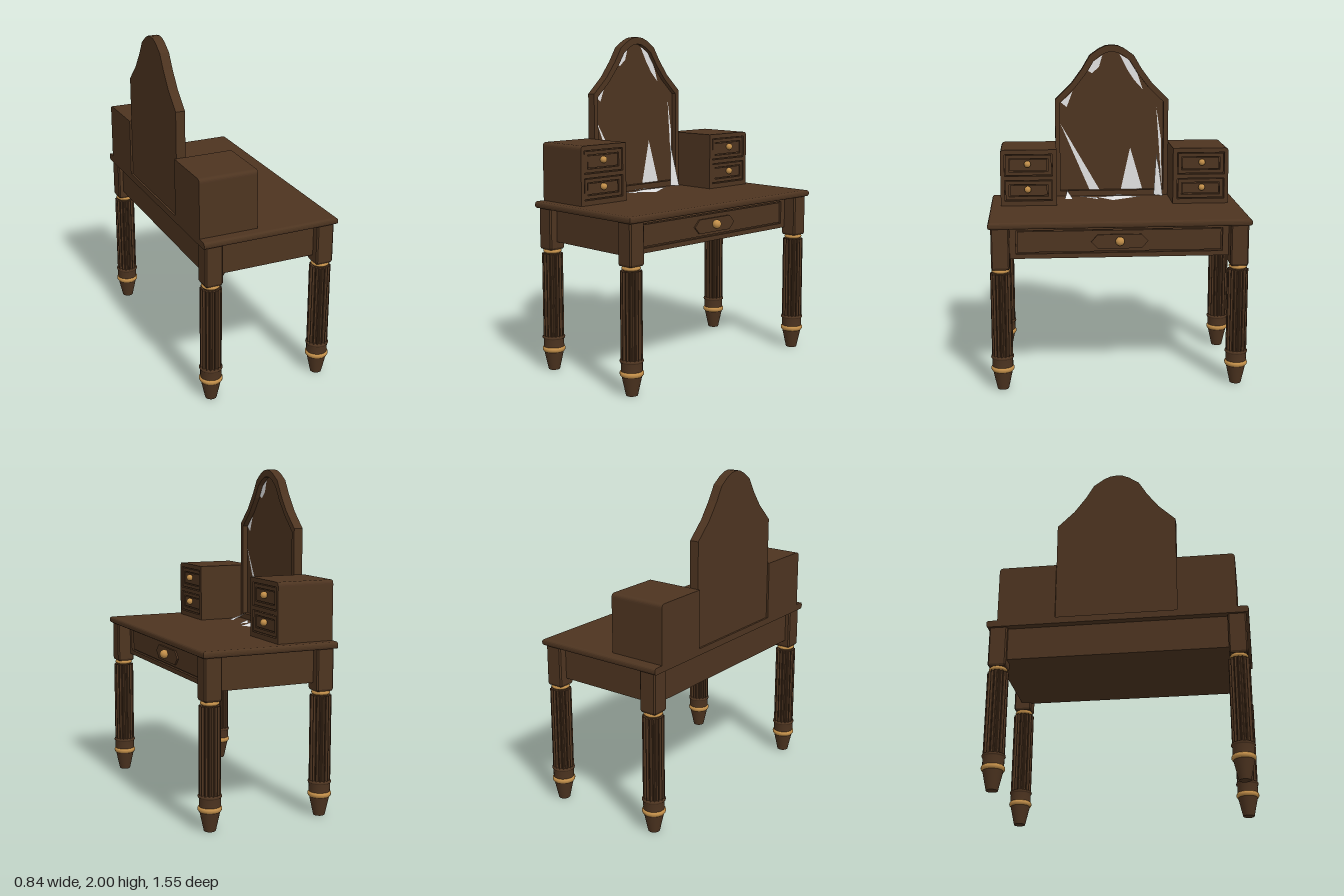
import * as THREE from 'three';

const wood = new THREE.MeshStandardMaterial({ color: 0x4d3420 });
wood.name = 'dark wood';
const brass = new THREE.MeshStandardMaterial({ color: 0xc4904a });
brass.name = 'brass';
const glass = new THREE.MeshStandardMaterial({ color: 0xe2e2e2, side: THREE.DoubleSide });
glass.name = 'broken glass';

function add(parent, name, geometry, material, x = 0, y = 0, z = 0) {
  const mesh = new THREE.Mesh(geometry, material);
  mesh.name = name;
  mesh.position.set(x, y, z);
  parent.add(mesh);
  return mesh;
}

function box(parent, name, [x0, x1], [y0, y1], [z0, z1]) {
  return add(parent, name, new THREE.BoxGeometry(x1 - x0, y1 - y0, z1 - z0), wood,
    (x0 + x1) / 2, (y0 + y1) / 2, (z0 + z1) / 2);
}

const polygon = (pts) => new THREE.Shape(pts.map(([a, b]) => new THREE.Vector2(a, b)));
const rect = (a0, a1, b0, b1) => polygon([[a0, b0], [a1, b0], [a1, b1], [a0, b1]]);

// Extrudes a (-z, y) shape along x, from x0 to x1
function extrudeX(shape, x0, x1) {
  return new THREE.ExtrudeGeometry(shape, { depth: x1 - x0, bevelEnabled: false, curveSegments: 6 })
    .rotateY(Math.PI / 2).translate(x0, 0, 0);
}

// Brass knob with a short stem, pointing along +x
function knob(parent, x, y, z, r) {
  add(parent, 'knobStem', new THREE.CylinderGeometry(r * 0.5, r * 0.6, 0.02, 12).rotateZ(-Math.PI / 2), brass, x, y, z);
  add(parent, 'knob', new THREE.SphereGeometry(r, 16, 12), brass, x + r * 0.5, y, z);
}

// Desk top with an eased edge, square at the back
function buildTop(root) {
  const b = 0.015;
  const g = new THREE.ExtrudeGeometry(rect(-0.40, 0.42 - b, -0.775 + b, 0.775 - b),
    { depth: 0.04 - 2 * b, bevelThickness: b, bevelSize: b, bevelSegments: 3 });
  g.rotateX(-Math.PI / 2).translate(0, 0.99 + b, 0);
  const p = g.attributes.position;
  for (let i = 0; i < p.count; i++) if (p.getX(i) < -0.39) p.setX(i, -0.42);
  g.computeVertexNormals();
  add(root, 'deskTop', g, wood);
}

// Apron set back between the legs, with one wide drawer
function buildApron(root) {
  const apron = new THREE.Group();
  apron.name = 'apron';
  root.add(apron);
  box(apron, 'apronBody', [-0.375, 0.305], [0.792, 0.995], [-0.71, 0.71]);
  const face = rect(-0.68, 0.68, 0.792, 0.99);
  face.holes.push(rect(-0.615, 0.615, 0.82, 0.962));
  add(apron, 'apronFace', extrudeX(face, 0.305, 0.322), wood);
  box(apron, 'wideDrawer', [0.305, 0.314], [0.828, 0.954], [-0.607, 0.607]);
  const plate = [[-0.17, 0.888], [-0.13, 0.845], [0.13, 0.845], [0.17, 0.888], [0.13, 0.93], [-0.13, 0.93]];
  add(apron, 'drawerPlate', extrudeX(polygon(plate), 0.314, 0.324), wood);
  knob(apron, 0.326, 0.892, 0, 0.027);
}

// Fluted, turned leg under a square block
function buildLeg(root, x, z) {
  const leg = new THREE.Group();
  leg.name = 'leg';
  leg.position.set(x, 0, z);
  root.add(leg);
  const h = 0.054, c = 0.008;
  const block = polygon([[-h, -h + c], [-h + c, -h], [h - c, -h], [h, -h + c],
    [h, h - c], [h - c, h], [-h + c, h], [-h, h - c]]);
  add(leg, 'legBlock', new THREE.ExtrudeGeometry(block,
    { depth: 0.24, bevelThickness: 0.012, bevelSize: 0.006, bevelOffset: -0.006, bevelSegments: 1 })
    .rotateX(-Math.PI / 2), wood, 0, 0.757, 0);
  // sixteen flutes around the shaft
  const pts = [];
  const flutes = 16, steps = 6;
  for (let i = 0; i < flutes * steps; i++) {
    const a = ((i - 0.5) / (flutes * steps)) * Math.PI * 2;
    const r = 0.063 - 0.011 * Math.max(0, Math.sin((i % steps) / steps * Math.PI * 1.2));
    pts.push([r * Math.cos(a), r * Math.sin(a)]);
  }
  add(leg, 'flutedShaft', new THREE.ExtrudeGeometry(polygon(pts), { depth: 0.517, bevelEnabled: false })
    .rotateX(-Math.PI / 2), wood, 0, 0.2, 0);
  const lathe = (name, profile, material) => add(leg, name,
    new THREE.LatheGeometry(profile.map(([r, y]) => new THREE.Vector2(r, y)), 24), material);
  lathe('foot', [[0, 0], [0.034, 0], [0.034, 0], [0.06, 0.118], [0.06, 0.118], [0, 0.118]], wood);
  lathe('footRing', [[0.05, 0.112], [0.063, 0.115], [0.068, 0.122], [0.069, 0.13], [0.068, 0.138], [0.06, 0.146], [0, 0.146]], brass);
  lathe('ankle', [[0.062, 0.143], [0.062, 0.193], [0.067, 0.196], [0.069, 0.202], [0.067, 0.208], [0.06, 0.212], [0, 0.212]], wood);
  lathe('neckRing', [[0, 0.72], [0.046, 0.722], [0.053, 0.728], [0.055, 0.734], [0.051, 0.742], [0.044, 0.748]], brass);
  lathe('neck', [[0.044, 0.71], [0.044, 0.765]], wood);
}

// Two-drawer cabinet; side is +1 or -1 along z
function buildCabinet(root, side) {
  const cabinet = new THREE.Group();
  cabinet.name = 'drawerCabinet';
  root.add(cabinet);
  const outline = () => {
    const s = new THREE.Shape();
    const a = -side;
    s.moveTo(a * 0.362, 1.03);
    s.lineTo(a * 0.71, 1.03);
    s.lineTo(a * 0.71, 1.355);
    s.quadraticCurveTo(a * 0.71, 1.38, a * 0.685, 1.38);
    s.lineTo(a * 0.362, 1.38);
    return s;
  };
  const span = (inset) => [-side * 0.537 - 0.148 + inset, -side * 0.537 + 0.148 - inset];
  const face = outline();
  const drawers = [[1.215, 1.352], [1.06, 1.19]];
  add(cabinet, 'cabinetBody', extrudeX(outline(), -0.42, -0.085), wood);
  for (const [y0, y1] of drawers) {
    face.holes.push(rect(...span(0), y0, y1));
    // drawer front: raised rim around a sunk panel
    const rim = rect(...span(0.006), y0 + 0.006, y1 - 0.006);
    rim.holes.push(rect(...span(0.027), y0 + 0.027, y1 - 0.027));
    add(cabinet, 'drawerRim', extrudeX(rim, -0.085, -0.071), wood);
    add(cabinet, 'drawerPanel', extrudeX(rect(...span(0.033), y0 + 0.033, y1 - 0.033), -0.085, -0.075), wood);
    knob(cabinet, -0.072, (y0 + y1) / 2 + 0.008, side * 0.542, 0.021);
  }
  add(cabinet, 'cabinetFace', extrudeX(face, -0.085, -0.066), wood);
}

// Arched mirror frame with a back board
function buildMirror(root) {
  const mirror = new THREE.Group();
  mirror.name = 'mirror';
  root.add(mirror);
  const arch = (half, apex) => polygon([...half, [0, apex], ...half.map(([z, y]) => [-z, y]).reverse()]);
  const outer = [[0.363, 1.03], [0.363, 1.655], [0.26, 1.755], [0.19, 1.85], [0.14, 1.935], [0.08, 1.977], [0.04, 1.995]];
  const inner = [[0.333, 1.065], [0.333, 1.635], [0.237, 1.728], [0.165, 1.82], [0.115, 1.9], [0.07, 1.935], [0.035, 1.952]];
  const frame = arch(outer, 2.0);
  frame.holes.push(arch(inner, 1.957));
  add(mirror, 'mirrorFrame', extrudeX(frame, -0.385, -0.352), wood);
  add(mirror, 'mirrorBack', extrudeX(arch(outer, 2.0), -0.408, -0.385), wood);
}

// Flat piece of glass from corner points [x, y, z]
function shard(root, name, pts) {
  const g = new THREE.BufferGeometry();
  g.setAttribute('position', new THREE.Float32BufferAttribute(pts.flat(), 3));
  const index = [];
  for (let i = 1; i < pts.length - 1; i++) index.push(0, i, i + 1);
  g.setIndex(index);
  g.computeVertexNormals();
  // keep the lying pieces' normals pointing up and the standing ones' forward
  const n = g.attributes.normal;
  if (n.getX(0) + n.getY(0) < 0) {
    g.setIndex(index.reverse());
    g.computeVertexNormals();
  }
  add(root, name, g, glass);
}

function buildGlass(root) {
  // pieces left in the frame, as [z, y]
  const stuck = [
    [[0.058, 1.935], [0.115, 1.895], [0.15, 1.835], [0.125, 1.82], [0.08, 1.86]],
    [[-0.05, 1.94], [-0.11, 1.905], [-0.165, 1.82], [-0.2, 1.715], [-0.145, 1.775], [-0.105, 1.835]],
    [[0.25, 1.705], [0.325, 1.635], [0.288, 1.605]],
    [[0.33, 1.5], [0.08, 1.066], [0.145, 1.066]],
    [[-0.12, 1.34], [-0.06, 1.066], [-0.2, 1.066]],
    [[-0.288, 1.605], [-0.32, 1.4], [-0.328, 1.066], [-0.318, 1.25], [-0.305, 1.4]],
  ];
  for (const p of stuck) shard(root, 'stuckShard', p.map(([z, y]) => [-0.381, y, z]));
  // pieces lying on the desk, as [x, z]
  const lying = [
    [[-0.305, -0.2], [-0.18, 0.005], [-0.29, 0.102], [-0.32, -0.01]],
    [[-0.21, 0.09], [-0.28, 0.102], [-0.335, 0.226]],
    [[-0.333, -0.08], [-0.351, -0.06], [-0.351, 0.05]],
  ];
  for (const p of lying) shard(root, 'lyingShard', p.map(([x, z]) => [x, 1.034, z]));
  // pieces leaning on the frame
  shard(root, 'leaningShard', [[-0.351, 1.068, 0.29], [-0.247, 1.032, 0.258], [-0.247, 1.032, 0.308]]);
  shard(root, 'leaningShard', [[-0.35, 1.3, -0.287], [-0.335, 1.035, -0.27], [-0.31, 1.032, -0.326], [-0.35, 1.2, -0.308]]);
}

export function createModel() {
  const root = new THREE.Group();
  root.name = 'dressingTable';
  buildTop(root);
  buildApron(root);
  for (const sx of [-1, 1]) for (const sz of [-1, 1]) buildLeg(root, sx * 0.351, sz * 0.705);
  for (const side of [-1, 1]) buildCabinet(root, side);
  buildMirror(root);
  buildGlass(root);
  return root;
}
